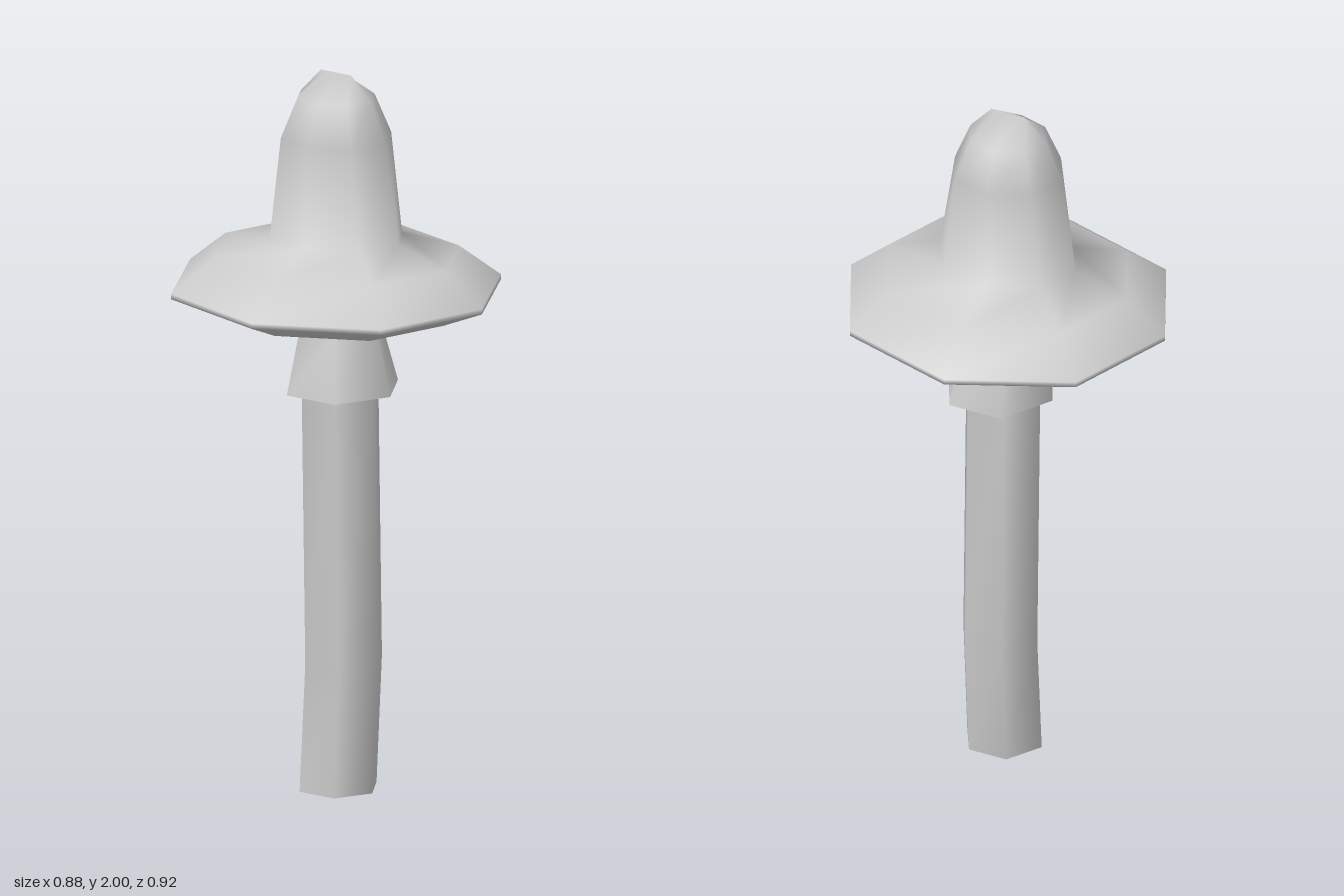
import * as THREE from 'three';

const material = new THREE.MeshStandardMaterial({ color: 0xcccccc, side: THREE.DoubleSide });

// Unit outlines as [x, z], counter-clockwise seen from above.
const half = [[0.07, 1], [0.76, 0.67], [1, -0.07], [0.66, -0.77]];
const octagon = [...half, ...half.map(([x, z]) => [-x, -z])];
const hexagon = [[0, 1], [1, 0.5], [1, -0.5], [0, -1], [-1, -0.5], [-1, 0.5]];

// Smooth skin through sections [y, half width x, half width z, centre x, centre z].
function loft(name, outline, sections) {
  const n = outline.length;
  const positions = [], index = [];
  sections.forEach(([y, rx, rz, cx = 0, cz = 0], i) => {
    outline.forEach(([x, z], j) => {
      positions.push(cx + x * rx, y, cz + z * rz);
      if (i === sections.length - 1) return;
      const a = i * n + j, b = i * n + (j + 1) % n;
      index.push(a, b, b + n, a, b + n, a + n);
    });
  });
  const geometry = new THREE.BufferGeometry();
  geometry.setAttribute('position', new THREE.Float32BufferAttribute(positions, 3));
  geometry.setIndex(index);
  geometry.computeVertexNormals();
  const mesh = new THREE.Mesh(geometry, material);
  mesh.name = name;
  return mesh;
}

export function createModel() {
  const model = new THREE.Group();
  model.name = 'mushroom';

  // Bent six-sided stem
  model.add(loft('stem', hexagon, [
    [0, 0.1, 0.113, -0.02, 0.021],
    [0.35, 0.1, 0.112, 0.01, 0.018],
    [1.12, 0.1, 0.112, -0.005, 0.017],
    [1.38, 0.098, 0.112, -0.005, 0.017],
  ]));

  // Flat foot of the stem
  const foot = new THREE.Mesh(new THREE.CircleGeometry(0.114, 6, Math.PI / 2), material);
  foot.name = 'stemBase';
  foot.rotation.x = Math.PI / 2;
  foot.position.set(-0.02, 0, 0.021);
  model.add(foot);

  // Flared skirt hanging under the cap
  model.add(loft('skirt', hexagon, [
    [1.12, 0.148, 0.158, -0.007, 0.026],
    [1.3, 0.105, 0.117, -0.005, 0.017],
    [1.36, 0.099, 0.113, -0.005, 0.017],
  ]));

  // Cap: dished underside, thin rim, brim, tall crown closing in a short ridge
  const cap = loft('cap', octagon, [
    [1.38, 0.08, 0.09],
    [1.34, 0.32, 0.34],
    [1.39, 0.44, 0.46],
    [1.405, 0.44, 0.46],
    [1.495, 0.32, 0.35],
    [1.545, 0.157, 0.2],
    [1.825, 0.146, 0.155],
    [1.935, 0.1, 0.11],
    [2, 0, 0.05],
  ]);
  // The ridge shades as one rounded tip
  const normals = cap.geometry.attributes.normal;
  for (let i = normals.count - octagon.length; i < normals.count; i++) normals.setXYZ(i, 0, 1, 0);
  model.add(cap);

  return model;
}
